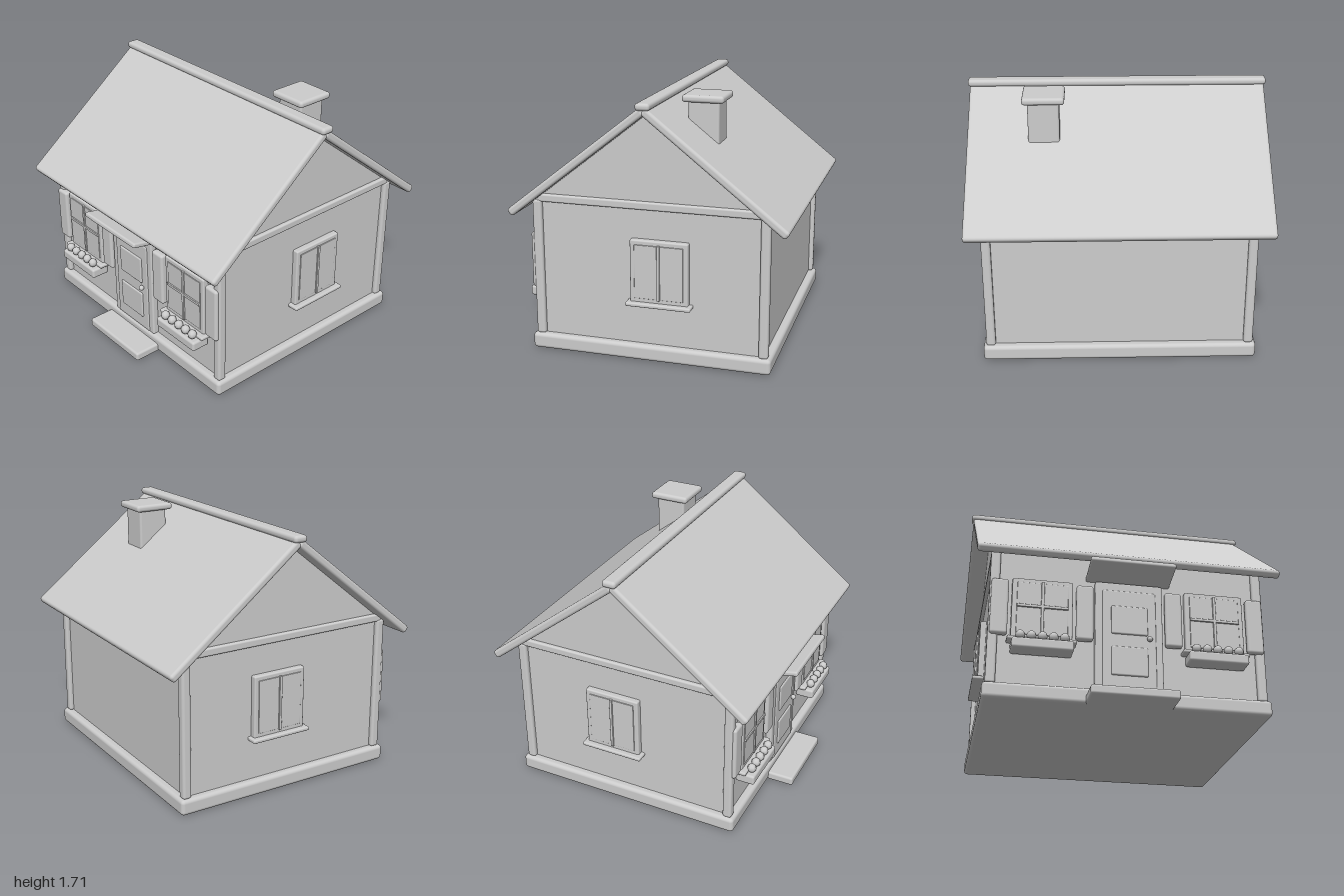
import * as THREE from 'three';
import { RoundedBoxGeometry } from 'three/addons/geometries/RoundedBoxGeometry.js';

const clay = new THREE.MeshStandardMaterial({ color: 0xcccccc });
clay.name = 'clay grey';

const MID_Z = -0.025;   // ridge line of the house
const FRONT_Z = 0.73;   // front wall
const SIDE_X = 0.86;    // side walls

function add(parent, name, geometry, x = 0, y = 0, z = 0) {
  const mesh = new THREE.Mesh(geometry, clay);
  mesh.name = name;
  mesh.position.set(x, y, z);
  parent.add(mesh);
  return mesh;
}

// Soft-edged box given by its size and centre
function block(parent, name, [w, h, d], [x, y, z], radius = 0.01) {
  const r = Math.min(radius, Math.min(w, h, d) * 0.49);
  return add(parent, name, new RoundedBoxGeometry(w, h, d, 3, r), x, y, z);
}

// Window facing +z, with its back on the wall plane
function makeWindow(name, crossBar) {
  const g = new THREE.Group();
  g.name = name;
  block(g, 'windowFrame', [0.385, 0.43, 0.06], [0, 0.605, 0.01], 0.01);
  block(g, 'windowPane', [0.325, 0.36, 0.02], [0, 0.61, 0.035], 0.004);
  block(g, 'verticalBar', [0.02, 0.37, 0.03], [0, 0.61, 0.04], 0.004);
  if (crossBar) block(g, 'horizontalBar', [0.325, 0.02, 0.03], [0, 0.625, 0.04], 0.004);
  block(g, 'windowSill', [0.435, 0.026, 0.09], [0, 0.393, 0.032], 0.01);
  return g;
}

// Shutters and flower box around a front window
function dressWindow(g) {
  for (const s of [-1, 1]) {
    block(g, 'shutter', [0.11, 0.38, 0.05], [s * 0.27, 0.613, 0.027], 0.018);
  }
  block(g, 'flowerBox', [0.385, 0.068, 0.13], [0, 0.341, 0.063], 0.015);
  for (let i = -2; i <= 2; i++) {
    add(g, 'flower', new THREE.SphereGeometry(0.031, 8, 6), i * 0.069, 0.403, 0.09);
  }
}

export function createModel() {
  const house = new THREE.Group();
  house.name = 'cottage';

  // Base and front step
  block(house, 'foundation', [1.82, 0.105, 1.615], [0, 0.0525, MID_Z], 0.025);
  block(house, 'frontStep', [0.55, 0.06, 0.26], [-0.003, 0.03, 0.83], 0.015);

  // Walls with both gables, one prism along x
  const halfDepth = FRONT_Z - MID_Z;
  const profile = new THREE.Shape([
    [-halfDepth, 0.09], [halfDepth, 0.09], [halfDepth, 1.04], [0, 1.64], [-halfDepth, 1.04],
  ].map(([a, b]) => new THREE.Vector2(a, b)));
  const wallGeo = new THREE.ExtrudeGeometry(profile, { depth: SIDE_X * 2, bevelEnabled: false });
  wallGeo.translate(0, 0, -SIDE_X).rotateY(Math.PI / 2);
  add(house, 'walls', wallGeo, 0, 0, MID_Z);

  // Corner posts and gable beams
  for (const sx of [-1, 1]) {
    for (const sz of [-1, 1]) {
      block(house, 'cornerPost', [0.062, 0.93, 0.062],
        [sx * SIDE_X, 0.565, MID_Z + sz * halfDepth], 0.018);
    }
    block(house, 'gableBeam', [0.05, 0.052, 1.52], [sx * SIDE_X, 1.041, MID_Z], 0.012);
  }

  // Roof slopes
  const pitch = 0.667, slope = 1.155;
  for (const s of [-1, 1]) {
    const slab = block(house, 'roofSlope', [1.975, 0.055, slope], [
      0,
      1.665 - (slope / 2) * Math.sin(pitch),
      MID_Z + s * (slope / 2) * Math.cos(pitch),
    ], 0.02);
    slab.rotation.x = s * pitch;
  }
  block(house, 'ridgeCap', [2, 0.047, 0.095], [0, 1.69, MID_Z - 0.003], 0.021);

  // Chimney
  block(house, 'chimneyShaft', [0.205, 0.4, 0.205], [0.485, 1.475, -0.303], 0.015);
  block(house, 'chimneyCap', [0.275, 0.047, 0.275], [0.485, 1.687, -0.303], 0.02);

  // Door
  const door = new THREE.Group();
  door.name = 'door';
  door.position.set(-0.003, 0, FRONT_Z);
  house.add(door);
  block(door, 'doorFrame', [0.435, 0.745, 0.06], [0, 0.473, 0.01], 0.012);
  block(door, 'doorLeaf', [0.345, 0.68, 0.05], [0, 0.447, 0.022], 0.01);
  for (const y of [0.578, 0.298]) {
    block(door, 'doorPanel', [0.235, 0.195, 0.03], [0, y, 0.042], 0.01);
  }
  add(door, 'doorKnob', new THREE.SphereGeometry(0.018, 16, 12), 0.127, 0.455, 0.064);

  // Canopy over the door, tilted up at its outer edge
  const canopy = block(house, 'doorCanopy', [0.55, 0.035, 0.24], [-0.003, 0.892, 0.829], 0.013);
  canopy.rotation.x = -0.2;

  // Front and side windows
  for (const s of [-1, 1]) {
    const front = makeWindow('frontWindow', true);
    front.position.set(s * 0.557, 0, FRONT_Z);
    dressWindow(front);
    house.add(front);

    const side = makeWindow('sideWindow', false);
    side.position.set(s * SIDE_X, 0, -0.098);
    side.rotation.y = s * Math.PI / 2;
    house.add(side);
  }

  return house;
}
